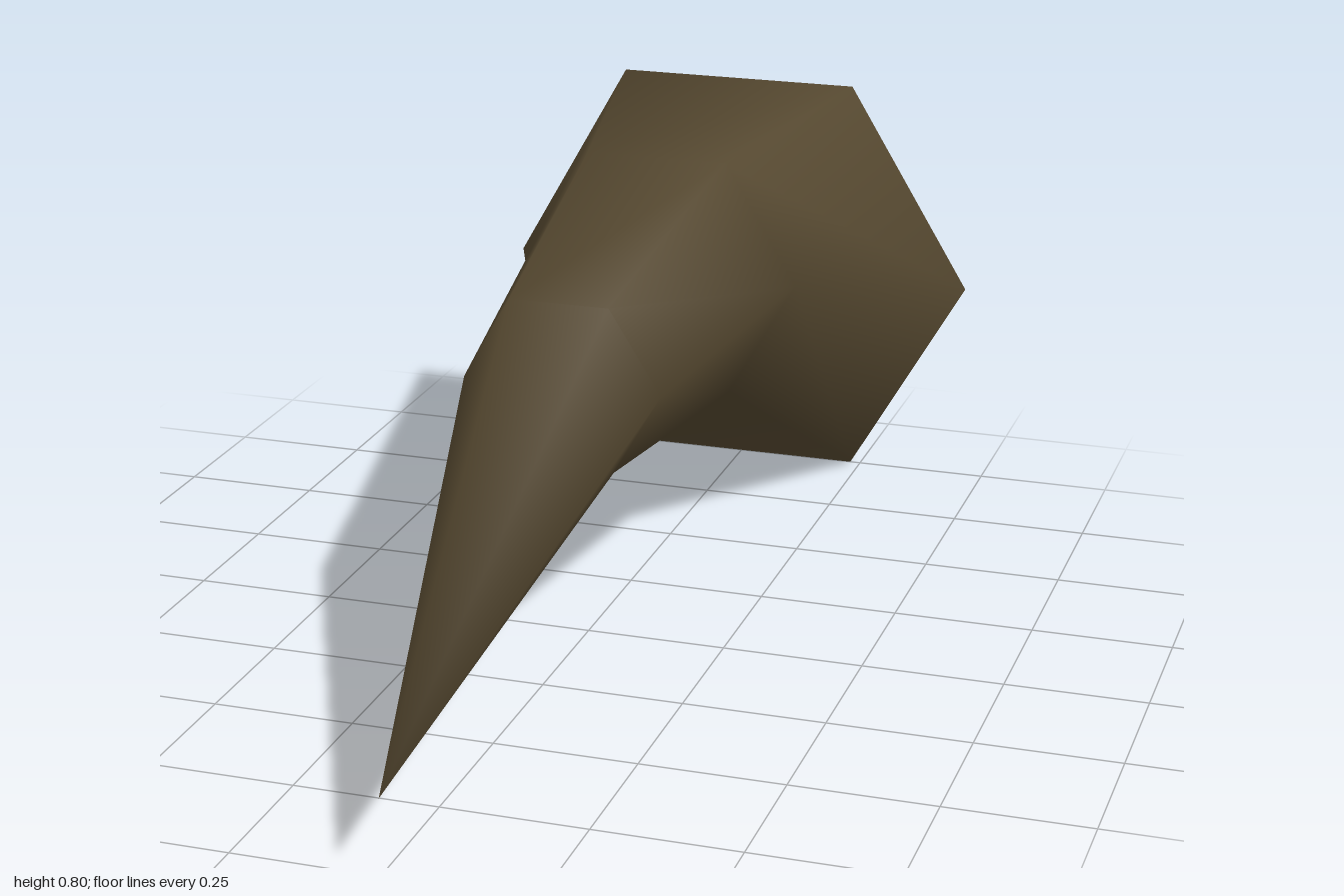
import * as THREE from 'three';

export function createModel() {
  const group = new THREE.Group();
  const brown = new THREE.MeshStandardMaterial({ color: 0x54472f, side: THREE.DoubleSide });
  brown.name = 'dark horn brown';

  // Hexagonal rings from the open base to the tip: radius and [y, z] of upper and lower edge
  const rings = [
    { r: 0.46, top: [0.797, -0.93], bottom: [0, -1] },
    { r: 0.26, top: [0.772, -0.39], bottom: [0.322, -0.43] },
    { r: 0.176, top: [0.657, 0.16], bottom: [0.355, 0.13] },
  ];
  const sides = 6;
  const positions = [];
  for (const { r, top, bottom } of rings) {
    for (let i = 0; i < sides; i++) {
      const a = (i / sides) * Math.PI * 2;
      const t = 0.5 + Math.sin(a) / Math.sqrt(3); // 0 on the lower edge, 1 on the upper
      positions.push(
        r * Math.cos(a),
        THREE.MathUtils.lerp(bottom[0], top[0], t),
        THREE.MathUtils.lerp(bottom[1], top[1], t),
      );
    }
  }
  const tip = positions.length / 3;
  positions.push(0, 0.13, 1);

  // Walls between rings, then the fan that closes on the tip
  const index = [];
  for (let k = 0; k < rings.length; k++) {
    for (let i = 0; i < sides; i++) {
      const a = k * sides + i;
      const b = k * sides + ((i + 1) % sides);
      if (k === rings.length - 1) index.push(a, b, tip);
      else index.push(a, b, b + sides, a, b + sides, a + sides);
    }
  }

  const geometry = new THREE.BufferGeometry();
  geometry.setAttribute('position', new THREE.Float32BufferAttribute(positions, 3));
  geometry.setIndex(index);
  geometry.computeVertexNormals();

  const horn = new THREE.Mesh(geometry, brown);
  horn.name = 'horn';
  group.add(horn);
  return group;
}
